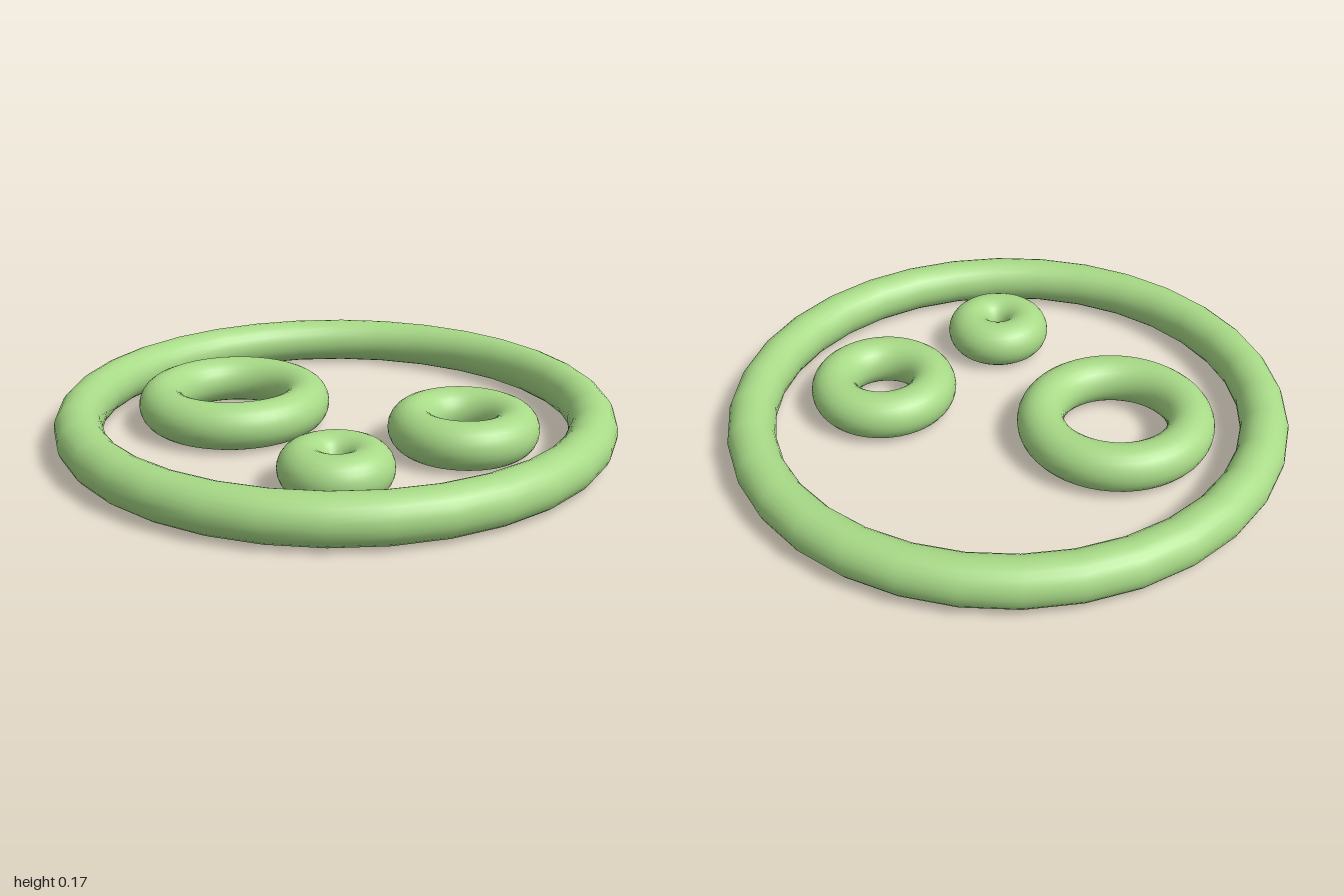
import * as THREE from 'three';

const TUBE = 0.084;

export function createModel() {
  const group = new THREE.Group();
  const green = new THREE.MeshStandardMaterial({ color: 0xa8da87 });
  green.name = 'soft green';

  // A flat-lying ring, resting on the ground
  function addRing(name, x, z, radius, segments) {
    const geometry = new THREE.TorusGeometry(radius, TUBE, 24, segments);
    geometry.rotateX(-Math.PI / 2);
    const ring = new THREE.Mesh(geometry, green);
    ring.name = name;
    ring.position.set(x, TUBE, z);
    group.add(ring);
  }

  // Large rim with three smaller rings inside it
  addRing('outerRing', 0, 0, 0.916, 32);
  addRing('largeInnerRing', -0.307, -0.248, 0.267, 48);
  addRing('mediumInnerRing', 0.363, 0.302, 0.182, 48);
  addRing('smallInnerRing', -0.185, 0.485, 0.11, 48);

  return group;
}
